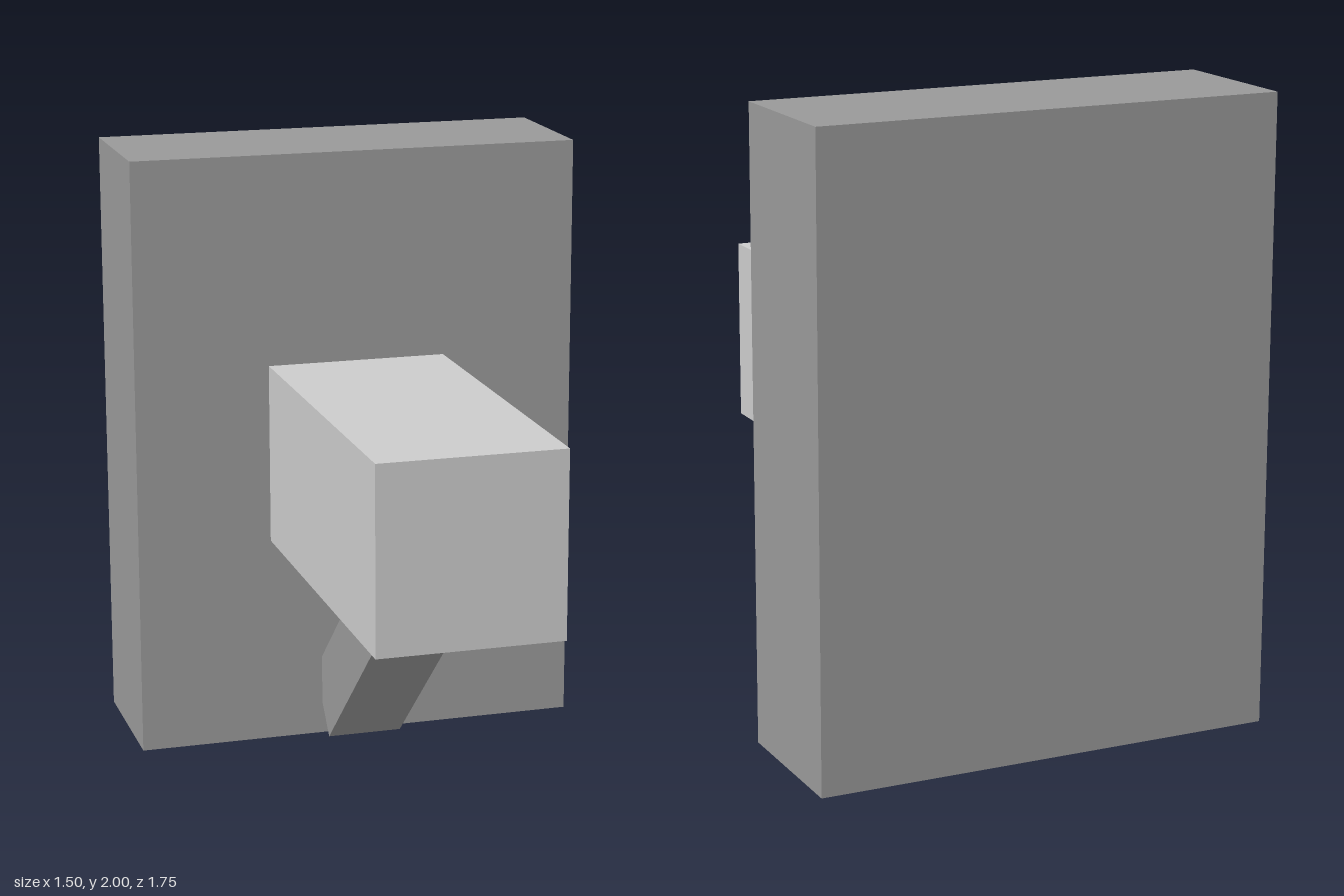
import * as THREE from 'three';

export function createModel() {
  const model = new THREE.Group();
  const light = new THREE.MeshStandardMaterial({ color: 0xcccccc });
  const dark = new THREE.MeshStandardMaterial({ color: 0x999999 });

  function addBox(name, size, position, material) {
    const mesh = new THREE.Mesh(new THREE.BoxGeometry(...size), material);
    mesh.name = name;
    mesh.position.set(...position);
    model.add(mesh);
    return mesh;
  }

  // Upright slab at the back
  addBox('backPlate', [1.5, 2, 0.5], [0, 1, -0.625], dark);

  // Square beam reaching forward from the slab
  addBox('beam', [0.6, 0.6, 1.25], [0, 1, 0.25], light);

  // Diagonal strut, its ends sunk into the slab and the beam
  const brace = addBox('brace', [0.25, 0.25, 1.25], [0, 0.525, 0.093], dark);
  brace.rotation.x = -0.73;

  return model;
}
